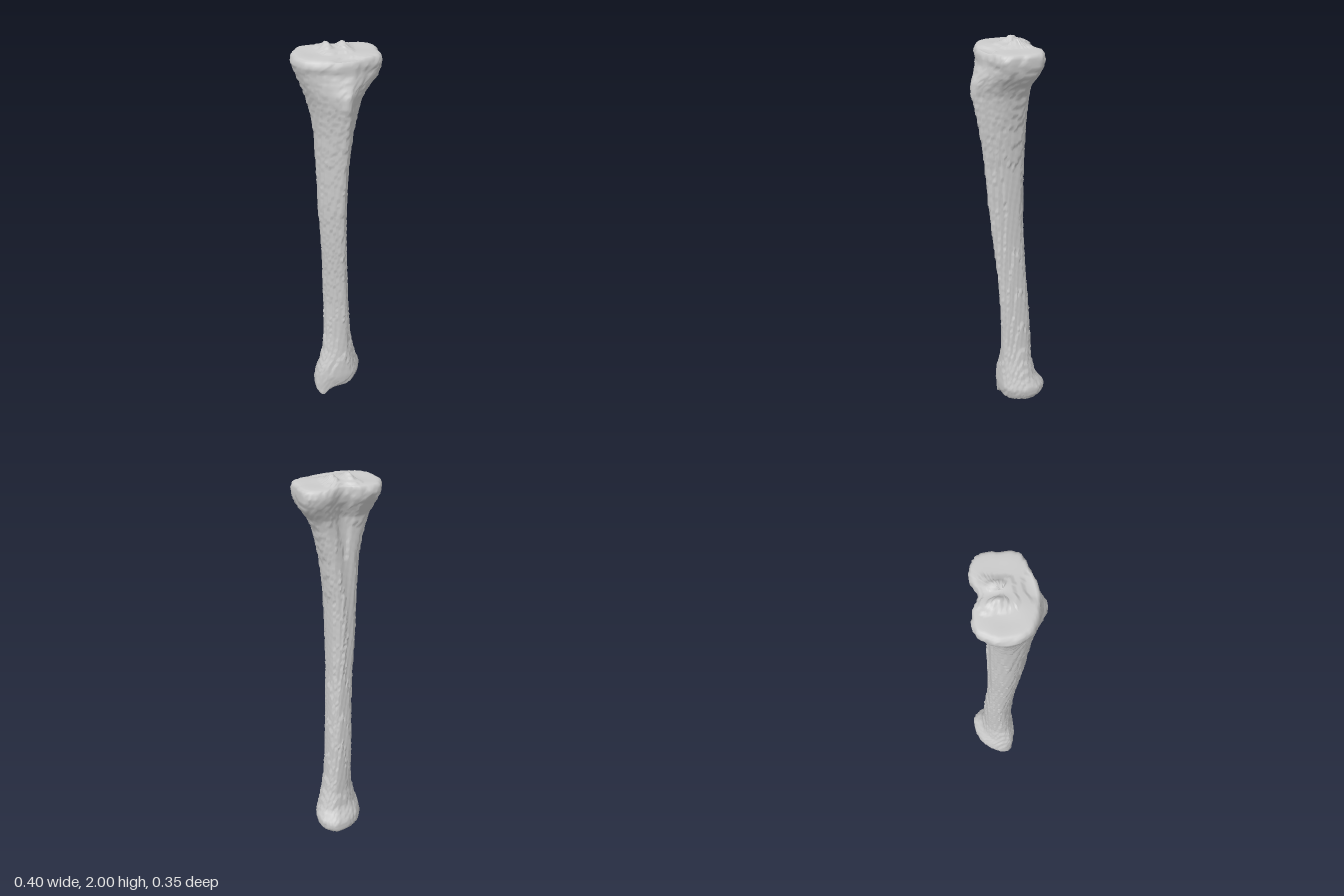
import * as THREE from 'three';
import { mergeVertices } from 'three/addons/utils/BufferGeometryUtils.js';

const AROUND = 84;    // points per cross-section
const STEP = 0.0125;  // height of the scanned slices

// Outline shapes inside a -1..1 box, from the front round past +x to the back
const OUTLINES = [
  // plateau: two condyles with a notch behind
  [[.05, 1], [.5, .88], [.9, .7], [1, .15], [.98, -.6], [.6, -.86], [.1, -.72], [-.25, -.98], [-.65, -1], [-.98, -.45], [-.95, .4], [-.6, .82]],
  // shoulder: pointed tuberosity in front
  [[.1, 1], [.4, .65], [.8, .2], [1, -.25], [.95, -.75], [.55, -1], [.1, -.82], [-.3, -1], [-.75, -.9], [-1, -.45], [-.8, .2], [-.35, .7]],
  // shaft: triangle with a front crest
  [[.4, 1], [.75, .6], [.92, .2], [1, -.2], [.9, -.7], [.5, -1], [0, -1], [-.5, -.9], [-.85, -.55], [-1, -.1], [-.75, .4], [-.2, .82]],
  // ankle: rounded block, deepest behind on the +x side
  [[.1, 1], [.55, .85], [.85, .4], [1, -.1], [.92, -.6], [.6, -1], [.1, -1], [-.4, -.8], [-.8, -.35], [-1, .2], [-.9, .7], [-.4, .95]],
].map((pts) => new THREE.CatmullRomCurve3(pts.map(([x, z]) => new THREE.Vector3(x, 0, z)), true));

// y, x min, x max, z min, z max, outline (fractions blend two outlines)
const SECTIONS = [
  [0.07, -.112, .125, -.150, .038, 3],
  [0.10, -.112, .148, -.175, .046, 3],
  [0.14, -.106, .155, -.172, .054, 3],
  [0.20, -.092, .130, -.130, .050, 2.9],
  [0.30, -.065, .106, -.112, .042, 2.6],
  [0.40, -.056, .090, -.110, .040, 2.3],
  [0.60, -.055, .076, -.105, .045, 2],
  [0.80, -.061, .065, -.090, .056, 2],
  [1.00, -.072, .053, -.080, .076, 2],
  [1.20, -.088, .050, -.080, .095, 2],
  [1.40, -.095, .055, -.080, .112, 1.9],
  [1.50, -.100, .067, -.080, .125, 1.7],
  [1.60, -.106, .080, -.080, .142, 1.5],
  [1.70, -.122, .102, -.080, .162, 1.2],
  [1.76, -.138, .118, -.080, .177, 1],
  [1.81, -.155, .142, -.086, .175, .8],
  [1.86, -.174, .180, -.112, .152, .4],
  [1.90, -.186, .192, -.136, .135, .1],
  [1.93, -.194, .195, -.144, .138, 0],
  [1.955, -.188, .190, -.138, .130, 0],
];
const Y0 = SECTIONS[0][0], Y1 = SECTIONS.at(-1)[0];
const { lerp, clamp } = THREE.MathUtils;

function sectionAt(y) {
  const n = SECTIONS.length - 1;
  let i = 0;
  while (i < n - 1 && y > SECTIONS[i + 1][0]) i++;
  const a = SECTIONS[i], b = SECTIONS[i + 1];
  const t = clamp((y - a[0]) / (b[0] - a[0]), 0, 1);
  return a.map((v, k) => lerp(v, b[k], t));
}

const bump = (x, z, cx, cz, rx, rz) => Math.exp(-(((x - cx) / rx) ** 2) - ((z - cz) / rz) ** 2);

// Underside: hollow ankle joint with the hooked malleolus on the -x side
const floorY = (x, z) => 0.064 + 0.012 * bump(x, z, .04, -.05, .07, .06) - 0.062 * bump(x, z, -.08, .005, .035, .05);

// Joint surface: two shallow dishes, twin spines between, sloping front
const roofY = (x, z, s) => lerp(1.972, Y1, s ** 6)
  - 0.012 * bump(x, z, -.11, -.02, .05, .07) - 0.008 * bump(x, z, .12, -.01, .05, .07)
  + 0.03 * bump(x, z, -.035, -.035, .022, .04) + 0.026 * bump(x, z, .04, -.03, .022, .04)
  - 0.025 * (1 - s ** 6) * bump(x, z, .02, .11, .08, .05);

// Pull a value part way to the nearest slice, giving fine terraces
const terrace = (v, amount) => lerp(v, Math.round(v / STEP) * STEP, amount);

function ring(y) {
  const [, x0, x1, z0, z1, kind] = sectionAt(y);
  const k = Math.min(Math.floor(kind), 2);
  const rough = 0.0018 * clamp((y - 0.1) * 10, 0, 1);
  return Array.from({ length: AROUND }, (_, i) => {
    const p = OUTLINES[k].getPoint(i / AROUND).lerp(OUTLINES[k + 1].getPoint(i / AROUND), kind - k);
    const wave = rough * Math.sin(i * 0.9 + y * 61) * Math.sin(i * 0.37 - y * 97);
    const x = lerp(x0, x1, (p.x + 1) / 2) + p.x * wave;
    const z = lerp(z0, z1, (p.z + 1) / 2) + p.z * wave;
    return new THREE.Vector3(terrace(x, 0.5), y, terrace(z, 0.5));
  });
}

// Shrink an end ring towards its middle and lay it on a height rule
function capRing(edge, s, height) {
  const c = edge.reduce((sum, p) => sum.add(p), new THREE.Vector3()).divideScalar(AROUND);
  return edge.map((p) => {
    const q = c.clone().lerp(p, s);
    q.y = height(q.x, q.z, s);
    return q;
  });
}

function boneGeometry() {
  const rows = [];
  const CAP = 18, SIDE = 165;
  const bottom = ring(Y0), top = ring(Y1);
  for (let j = 0; j < CAP; j++) rows.push(capRing(bottom, j / CAP, floorY));
  for (let j = 0; j <= SIDE; j++) {
    const row = ring(lerp(Y0, Y1, j / SIDE));
    // Bend the lowest rings down to the joint edge, the highest to the rim
    for (const p of row) {
      if (p.y < 0.15) p.y = lerp(floorY(p.x, p.z), 0.15, (p.y - Y0) / (0.15 - Y0));
      else if (p.y > 1.9) p.y = lerp(1.9, roofY(p.x, p.z, 1), (p.y - 1.9) / (Y1 - 1.9));
    }
    rows.push(row);
  }
  for (let j = CAP - 1; j >= 0; j--) {
    rows.push(capRing(top, j / CAP, (x, z, s) => terrace(roofY(x, z, s), 0.5)));
  }

  const index = [];
  for (let j = 0; j < rows.length - 1; j++) {
    for (let i = 0; i < AROUND; i++) {
      const a = j * AROUND + i, b = j * AROUND + (i + 1) % AROUND;
      index.push(a, b, b + AROUND, a, b + AROUND, a + AROUND);
    }
  }
  let geometry = new THREE.BufferGeometry().setFromPoints(rows.flat());
  geometry.setIndex(index);
  geometry = mergeVertices(geometry, 1e-5);
  geometry.computeVertexNormals();
  return geometry;
}

export function createModel() {
  const model = new THREE.Group();
  model.name = 'shinBone';
  const bone = new THREE.Mesh(boneGeometry(), new THREE.MeshStandardMaterial({ color: 0xcccccc }));
  bone.name = 'boneShaftAndJointEnds';
  model.add(bone);
  return model;
}
